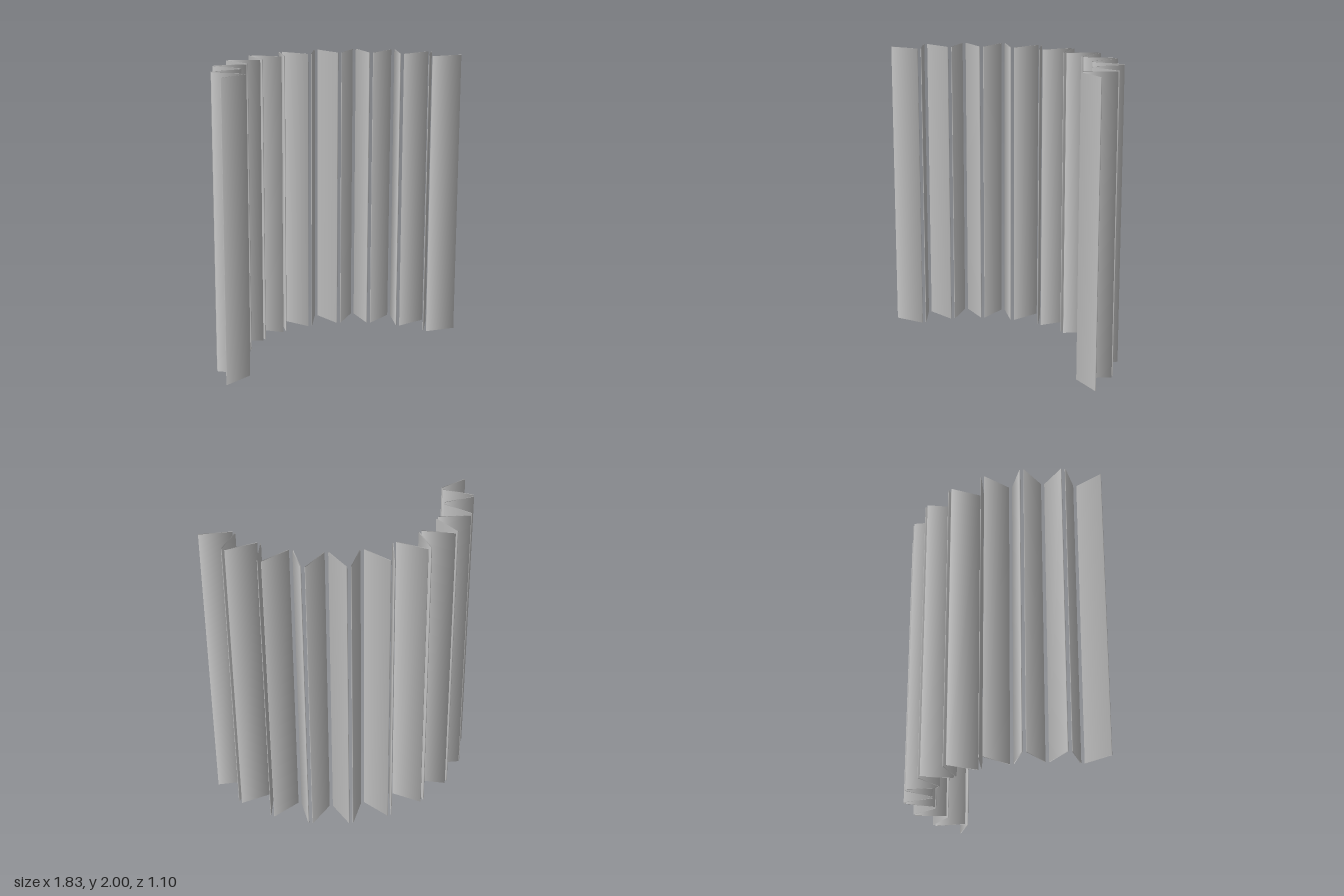
import * as THREE from 'three';

const PANELS = 20, HEIGHT = 2, THICKNESS = 0.006, HINGE_GAP = 0.027;
const CENTER = { x: -0.04, z: 0.415 }, OUTER = 0.965, INNER = 0.772;
const START = THREE.MathUtils.degToRad(-65.7), END = THREE.MathUtils.degToRad(98.8);

// Fold i of the zigzag, alternately on the outer and inner arc;
// side +1 / -1 is the panel edge just after / before the fold.
function foldEdge(i, side) {
  const r = i % 2 === 0 ? OUTER : INNER;
  const a = START + (END - START) * i / PANELS + side * HINGE_GAP / 2 / r;
  return new THREE.Vector2(CENTER.x + r * Math.sin(a), CENTER.z - r * Math.cos(a));
}

// Thin open-ended sleeve; its normals stay softened around the corners.
function panelGeometry(width) {
  const g = new THREE.CylinderGeometry(Math.SQRT1_2, Math.SQRT1_2, HEIGHT, 4, 1, true, Math.PI / 4);
  g.attributes.position.applyMatrix4(new THREE.Matrix4().makeScale(width, 1, THICKNESS));
  return g;
}

export function createModel() {
  const screen = new THREE.Group();
  screen.name = 'foldingScreen';
  const material = new THREE.MeshStandardMaterial({ color: 0xcccccc, side: THREE.DoubleSide });

  // Upright panels, folded back and forth along the arc
  for (let i = 0; i < PANELS; i++) {
    const a = foldEdge(i, 1), b = foldEdge(i + 1, -1);
    const panel = new THREE.Mesh(panelGeometry(a.distanceTo(b)), material);
    panel.name = `panel${i + 1}`;
    panel.position.set((a.x + b.x) / 2, HEIGHT / 2, (a.y + b.y) / 2);
    panel.rotation.y = Math.atan2(a.y - b.y, b.x - a.x);
    screen.add(panel);
  }
  return screen;
}
